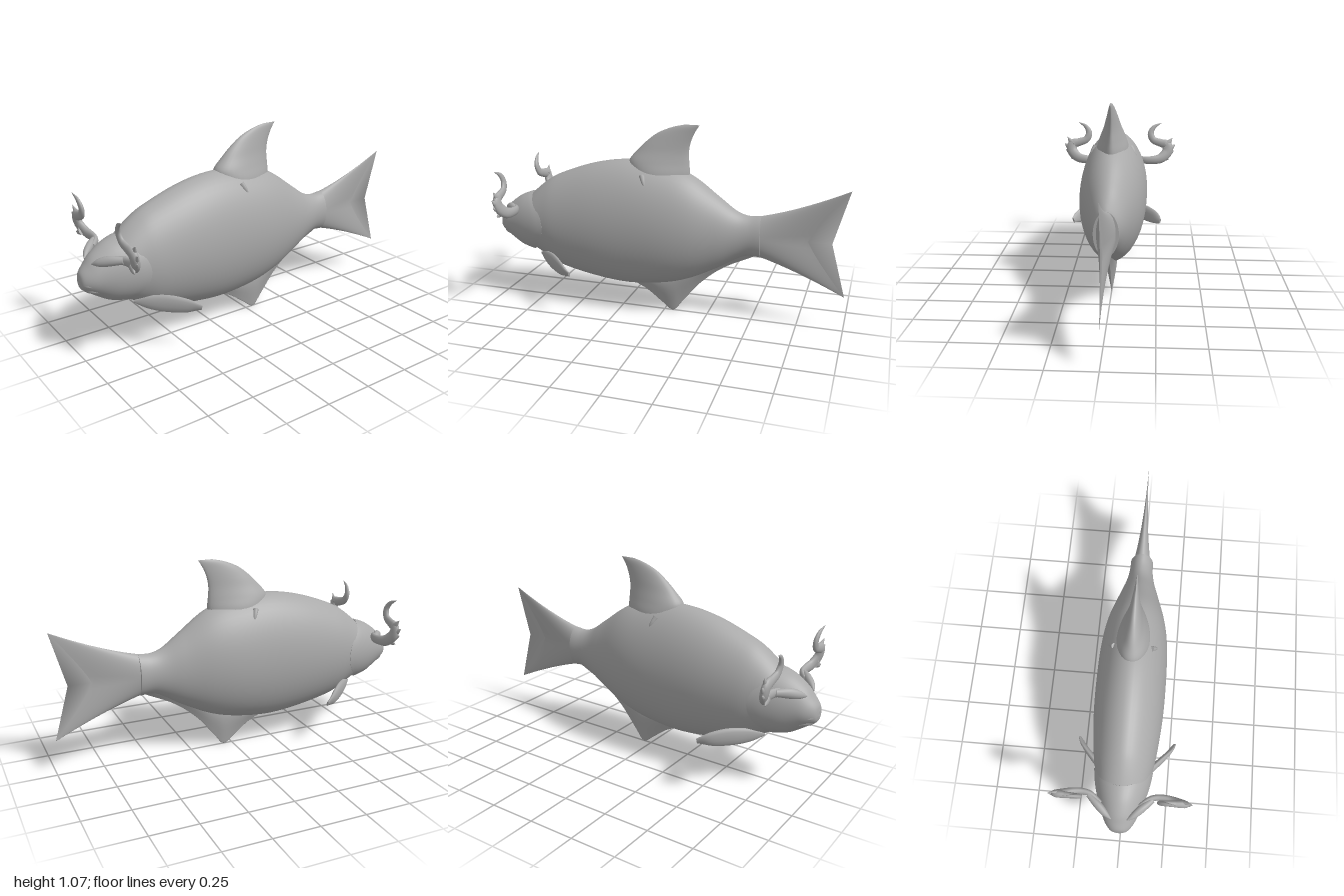
import * as THREE from 'three';

const skin = new THREE.MeshStandardMaterial({ color: 0xaaaaaa });
skin.name = 'plain grey';
const V = (x, y, z) => new THREE.Vector3(x, y, z);

// Skin closed rings of points; ends get flat caps and the faces always point outwards
function loft(rings) {
  const n = rings[0].length, pos = [], idx = [];
  const put = p => pos.push(p.x, p.y, p.z) / 3 - 1;
  rings.forEach(r => r.forEach(put));
  for (let i = 0; i < rings.length - 1; i++)
    for (let j = 0; j < n; j++) {
      const a = i * n + j, b = i * n + (j + 1) % n;
      idx.push(a, b, a + n, b, b + n, a + n);
    }
  [rings[0], rings.at(-1)].forEach((r, end) => {
    const c = put(r.reduce((s, p) => s.add(p), V(0, 0, 0)).divideScalar(n));
    const k = r.map(put);
    for (let j = 0; j < n; j++) {
      const a = k[j], b = k[(j + 1) % n];
      idx.push(...(end ? [c, a, b] : [c, b, a]));
    }
  });
  const at = i => V(pos[3 * i], pos[3 * i + 1], pos[3 * i + 2]);
  let volume = 0;
  for (let i = 0; i < idx.length; i += 3) volume += at(idx[i]).dot(at(idx[i + 1]).cross(at(idx[i + 2])));
  if (volume < 0) idx.reverse();
  const g = new THREE.BufferGeometry();
  g.setAttribute('position', new THREE.Float32BufferAttribute(pos, 3));
  g.setIndex(idx);
  g.computeVertexNormals();
  return g;
}

// Smooth rows of [station, high, low, half width], then turn each into a ring
function profileLoft(rows, steps, sides, point) {
  const edge = new THREE.CatmullRomCurve3(rows.map(r => V(r[0], r[1], r[2])), false, 'catmullrom', 0.5);
  const width = new THREE.CatmullRomCurve3(rows.map(r => V(r[3], 0, 0)), false, 'catmullrom', 0.5);
  const rings = [];
  for (let i = 0; i <= steps; i++) {
    const t = i / steps, e = edge.getPoint(t), w = Math.max(width.getPoint(t).x, 0.0005), ring = [];
    for (let j = 0; j < sides; j++) {
      const a = j / sides * Math.PI * 2, c = Math.cos(a), s = Math.sin(a);
      ring.push(point(e.x, (e.y + e.z) / 2 + (e.y - e.z) / 2 * s, w, c, s, t));
    }
    rings.push(ring);
  }
  return loft(rings);
}

// Flattened tube with a changing radius; points are [x, y, z, radius]
function taper(points, flat, steps = 32, sides = 14) {
  const path = new THREE.CatmullRomCurve3(points.map(p => V(p[0], p[1], p[2])), false, 'catmullrom', 0.5);
  const rad = new THREE.CatmullRomCurve3(points.map(p => V(p[3], 0, 0)), false, 'catmullrom', 0.5);
  const rings = [];
  for (let i = 0; i <= steps; i++) {
    const t = i / steps, p = path.getPoint(t), d = path.getTangent(t), r = Math.max(rad.getPoint(t).x, 0.0005);
    const side = V(0, 0, 1).cross(d).normalize(), depth = d.clone().cross(side).normalize();
    rings.push(Array.from({ length: sides }, (_, j) => {
      const a = j / sides * Math.PI * 2;
      return p.clone().addScaledVector(side, r * Math.cos(a)).addScaledVector(depth, r * flat * Math.sin(a));
    }));
  }
  return loft(rings);
}

export function createModel() {
  const model = new THREE.Group();
  model.name = 'hornedFish';
  const add = (name, geometry, parent = model) => {
    const m = new THREE.Mesh(geometry, skin);
    m.name = name;
    parent.add(m);
    return m;
  };

  // Deep, narrow body ending in a slightly flared tail stalk
  add('body', profileLoft([
    [0.86, 0.56, 0.38, 0.08], [0.8, 0.63, 0.32, 0.12], [0.7, 0.715, 0.26, 0.147], [0.6, 0.77, 0.21, 0.167],
    [0.4, 0.84, 0.168, 0.186], [0.2, 0.87, 0.15, 0.19], [0, 0.85, 0.172, 0.183], [-0.15, 0.805, 0.215, 0.16],
    [-0.3, 0.7, 0.29, 0.115], [-0.4, 0.628, 0.35, 0.083], [-0.47, 0.605, 0.38, 0.068], [-0.54, 0.61, 0.378, 0.064],
  ], 66, 48, (z, y, w, c, s) => V(w * Math.sign(c) * Math.abs(c) ** 1.08, y, z)));

  // Head shell whose cheeks sweep back over the body
  add('head', profileLoft([
    [1, 0.465, 0.425, 0.015], [0.992, 0.495, 0.405, 0.045], [0.965, 0.53, 0.385, 0.075], [0.93, 0.572, 0.36, 0.098],
    [0.87, 0.615, 0.322, 0.128], [0.82, 0.637, 0.305, 0.148], [0.79, 0.645, 0.298, 0.157],
  ], 30, 48, (z, y, w, c, s, t) => V(w * c, y, z - 0.11 * t * t * c * c)));

  // Lips
  const lip = (name, y, z, w, r) => add(name, taper([
    [-w, y - 0.012, z - 0.045, r * 0.35], [-w * 0.6, y, z - 0.012, r], [0, y + 0.003, z, r * 1.15],
    [w * 0.6, y, z - 0.012, r], [w, y - 0.012, z - 0.045, r * 0.35],
  ], 0.9, 20));
  lip('upperLip', 0.435, 0.985, 0.068, 0.016);
  lip('lowerLip', 0.403, 0.967, 0.06, 0.017);

  // Dorsal fin: a wide saddle narrowing to a swept blade
  add('dorsalFin', profileLoft([
    [0.77, 0.16, -0.14, 0.113], [0.82, 0.19, -0.142, 0.106], [0.87, 0.2, -0.138, 0.086], [0.925, 0.155, -0.135, 0.06],
    [0.975, 0.105, -0.142, 0.042], [1.025, 0.04, -0.16, 0.025], [1.06, -0.04, -0.18, 0.012], [1.077, -0.11, -0.192, 0.002],
  ], 36, 32, (y, z, w, c, s) => V(w * c * (0.78 + 0.22 * s), y, z)));

  // Keel fin under the belly
  add('analFin', profileLoft([
    [0.18, 0.22, 0.15, 0.03], [0.1, 0.22, 0.11, 0.04], [0.02, 0.23, 0.05, 0.042], [-0.05, 0.25, 0.004, 0.042],
    [-0.11, 0.27, 0.07, 0.042], [-0.21, 0.31, 0.19, 0.042], [-0.34, 0.38, 0.295, 0.042], [-0.51, 0.43, 0.38, 0.035],
  ], 42, 20, (z, y, w, c, s) => V(w * c * (0.55 + 0.45 * s), y, z)));

  // Forked tail: rays run from the stalk to a notched trailing edge
  const tail = [];
  for (let i = 0; i <= 20; i++) {
    const u = i / 20, k = 1 - u;
    tail.push(Array.from({ length: 48 }, (_, j) => {
      const a = j / 48 * Math.PI * 2, v = Math.sin(a);
      const endZ = -0.79 - 0.205 * Math.abs(v) ** 1.15;
      return V((0.05 * k ** 1.1 + 0.0015) * Math.cos(a),
        k * k * (0.495 + 0.11 * v) + 2 * u * k * (0.49 + 0.165 * v) + u * u * (0.49 + 0.292 * v),
        k * k * -0.52 + 2 * u * k * (-0.68 - 0.05 * Math.abs(v)) + u * u * endZ);
    }));
  }
  add('tailFin', loft(tail));

  for (const side of [1, -1]) {
    const name = side > 0 ? 'left' : 'right';
    const mx = pts => pts.map(([x, y, z, r]) => [x * side, y, z, r]);

    // Pectoral fin
    add(name + 'PectoralFin', taper(mx([
      [0.05, 0.285, 0.74, 0.006], [0.1, 0.283, 0.68, 0.037], [0.17, 0.28, 0.6, 0.05],
      [0.235, 0.272, 0.525, 0.04], [0.27, 0.26, 0.468, 0.016],
    ]), 0.34));

    // Small barb hanging from the dorsal saddle
    add(name + 'DorsalBarb', taper(mx([
      [0.09, 0.8, 0.1, 0.025], [0.112, 0.77, 0.085, 0.017], [0.13, 0.735, 0.07, 0.001],
    ]), 0.7, 10, 10));

    // Leaf-shaped eye, curled horn and its points
    const horn = new THREE.Group();
    horn.name = name + 'Horn';
    model.add(horn);
    add('eyeLeaf', taper(mx([
      [0.042, 0.543, 0.945, 0.004], [0.075, 0.555, 0.918, 0.021], [0.115, 0.568, 0.88, 0.026], [0.165, 0.575, 0.835, 0.018],
    ]), 0.8, 20), horn);
    add('beam', taper(mx([
      [0.1, 0.565, 0.87, 0.018], [0.155, 0.572, 0.83, 0.024], [0.21, 0.574, 0.82, 0.026], [0.27, 0.584, 0.83, 0.031],
      [0.312, 0.622, 0.848, 0.034], [0.312, 0.667, 0.858, 0.032], [0.268, 0.682, 0.862, 0.026],
      [0.222, 0.7, 0.866, 0.023], [0.204, 0.742, 0.872, 0.02], [0.226, 0.784, 0.88, 0.013], [0.273, 0.81, 0.888, 0.001],
    ]), 0.6, 60), horn);
    for (const [x0, y0, x1, y1] of [
      [0.305, 0.67, 0.346, 0.716], [0.322, 0.645, 0.365, 0.673], [0.318, 0.622, 0.358, 0.631], [0.28, 0.592, 0.326, 0.573],
    ]) add('hornPoint', taper(mx([
      [x0, y0, 0.852, 0.022], [(x0 + x1) / 2, (y0 + y1) / 2 - 0.004, 0.855, 0.016], [x1, y1, 0.86, 0.001],
    ]), 0.6, 8, 10), horn);
  }
  return model;
}
